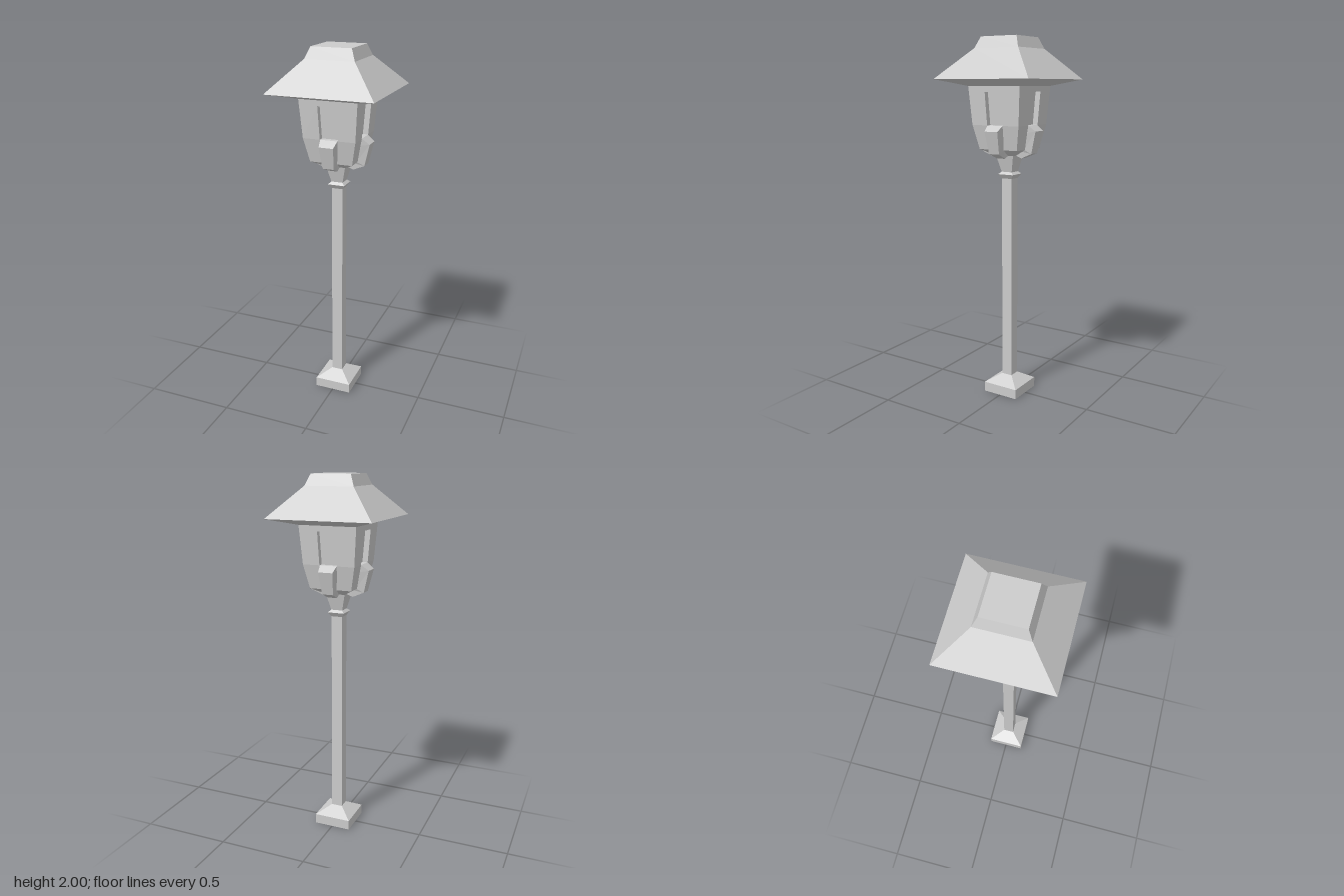
import * as THREE from 'three';

const material = new THREE.MeshStandardMaterial({ color: 0xcccccc, flatShading: true });

function mesh(name, geometry) {
  const m = new THREE.Mesh(geometry, material);
  m.name = name;
  return m;
}

// Stacked square sections: [half width, y] from bottom to top
function squareStack(name, profile) {
  const points = profile.map(([half, y]) => new THREE.Vector2(half * Math.SQRT2, y));
  return mesh(name, new THREE.LatheGeometry(points, 4, Math.PI / 4));
}

// Flat faces, corners counter-clockwise seen from outside
function quadGeometry(quads) {
  const positions = [];
  for (const [a, b, c, d] of quads) positions.push(...a, ...b, ...c, ...a, ...c, ...d);
  const g = new THREE.BufferGeometry();
  g.setAttribute('position', new THREE.Float32BufferAttribute(positions, 3));
  g.computeVertexNormals();
  return g;
}

// One lantern wall facing +z, with a recessed window
function wallGeometry() {
  const T = 1.745, A = 1.715, B = 1.54, C = 1.41, depth = 0.03;
  const half = y => y >= B ? 0.145 + (y - B) / (T - B) * 0.015 : 0.118 + (y - C) / (B - C) * 0.027;
  const slot = y => 0.05 + (y - B) / (A - B) * 0.006;
  const corner = (s, y) => [s * half(y), y, half(y)];
  const rim = (s, y) => [s * slot(y), y, half(y)];
  const back = (s, y) => [s * slot(y), y, half(y) - depth];
  return quadGeometry([
    [corner(-1, A), corner(1, A), corner(1, T), corner(-1, T)],
    [corner(-1, B), rim(-1, B), rim(-1, A), corner(-1, A)],
    [rim(1, B), corner(1, B), corner(1, A), rim(1, A)],
    [corner(-1, C), corner(1, C), corner(1, B), corner(-1, B)],
    // window recess
    [back(-1, B), back(1, B), back(1, A), back(-1, A)],
    [rim(-1, B), back(-1, B), back(-1, A), rim(-1, A)],
    [back(1, B), rim(1, B), rim(1, A), back(1, A)],
    [back(-1, A), back(1, A), rim(1, A), rim(-1, A)],
    [rim(-1, B), rim(1, B), back(1, B), back(-1, B)],
  ]);
}

// Bracket hugging the lower wall: outer strip and inner strip joined by sides
function bracketGeometry() {
  // [half width, y, z] from top to bottom
  const outer = [[0.047, 1.54, 0.145], [0.04, 1.51, 0.185], [0.031, 1.39, 0.155], [0.026, 1.362, 0.09], [0.022, 1.375, 0.05]];
  const inner = [[0.047, 1.54, 0.145], [0.046, 1.5, 0.13], [0.036, 1.41, 0.112], [0.03, 1.4, 0.09], [0.022, 1.375, 0.05]];
  const at = (s, [w, y, z]) => [s * w, y, z];
  const quads = [];
  for (let i = 0; i < outer.length - 1; i++) {
    const o = outer[i], p = outer[i + 1], n = inner[i], m = inner[i + 1];
    quads.push(
      [at(-1, p), at(1, p), at(1, o), at(-1, o)],
      [at(1, p), at(1, m), at(1, n), at(1, o)],
      [at(-1, m), at(-1, p), at(-1, o), at(-1, n)],
    );
  }
  return quadGeometry(quads);
}

export function createModel() {
  const lamp = new THREE.Group();
  lamp.name = 'lampPost';

  lamp.add(
    squareStack('base', [[0, 0], [0.105, 0], [0.105, 0.055], [0.032, 0.1], [0, 0.1]]),
    squareStack('pole', [[0.031, 0.09], [0.031, 1.26]]),
    squareStack('collar', [[0.03, 1.245], [0.047, 1.27], [0.03, 1.285]]),
    squareStack('neck', [[0.03, 1.275], [0.055, 1.375], [0.118, 1.41]]),
    squareStack('roof', [[0, 1.745], [0.16, 1.745], [0.29, 1.78], [0.135, 1.94], [0.11, 2], [0, 2]]),
  );

  // Four identical lantern sides
  const wall = wallGeometry();
  const bracket = bracketGeometry();
  for (let i = 0; i < 4; i++) {
    const side = new THREE.Group();
    side.name = 'lanternSide';
    side.add(mesh('wall', wall), mesh('bracket', bracket));
    side.rotation.y = i * Math.PI / 2;
    lamp.add(side);
  }
  return lamp;
}
